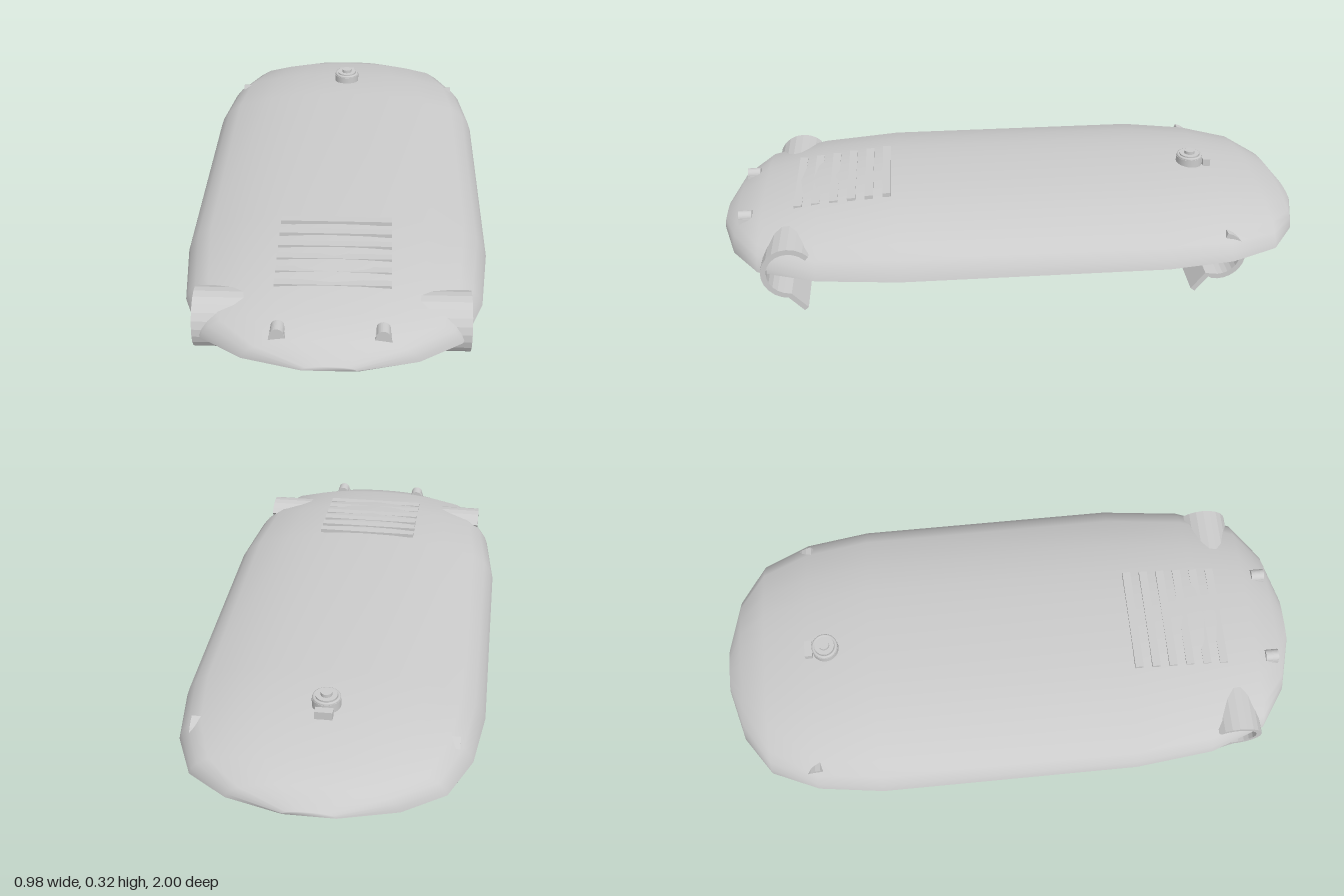
import * as THREE from 'three';
import { RoundedBoxGeometry } from 'three/addons/geometries/RoundedBoxGeometry.js';

const grey = new THREE.MeshStandardMaterial({ color: 0xcccccc, side: THREE.DoubleSide });
const BASE = 0.14;

// Hull stations from front to back: z, half width, top height
const half = [[1, 0.08, 0.155], [0.95, 0.26, 0.208], [0.86, 0.39, 0.243], [0.67, 0.46, 0.272], [0.4, 0.49, 0.29]];
const stations = [
  ...half,
  [-0.48, 0.49, 0.29], [-0.7, 0.46, 0.27],
  ...half.slice(0, 3).reverse().map(([z, w, h]) => [-z, w, h]),
];
// Unit arch, from the edge to the centre
const arch = [[1, 0], [0.98, 0.2], [0.93, 0.42], [0.84, 0.63], [0.61, 0.83], [0.41, 0.94], [0.2, 0.985], [0, 1]];
const section = [...arch, ...arch.slice(0, -1).reverse().map(([x, y]) => [-x, y])];

function add(parent, name, geometry, x = 0, y = 0, z = 0) {
  const mesh = new THREE.Mesh(geometry, grey);
  mesh.name = name;
  mesh.position.set(x, y, z);
  parent.add(mesh);
  return mesh;
}

// Smooth domed shell lofted through the stations, with closed ends
function shellGeometry() {
  const pos = [], index = [], n = section.length;
  for (const [z, w, h] of stations)
    for (const [x, y] of section) pos.push(x * w, BASE + y * (h - BASE), z);
  for (let i = 0; i < stations.length - 1; i++)
    for (let j = 0; j < n - 1; j++) {
      const a = i * n + j, b = a + n;
      index.push(a, a + 1, b, a + 1, b + 1, b);
    }
  const last = (stations.length - 1) * n;
  for (let j = 1; j < n - 1; j++) {
    index.push(0, j, j + 1);
    index.push(last, last + j + 1, last + j);
  }
  const g = new THREE.BufferGeometry();
  g.setAttribute('position', new THREE.Float32BufferAttribute(pos, 3));
  g.setIndex(index);
  g.computeVertexNormals();
  return g;
}

// Flat underside following the plan outline
function undersideGeometry() {
  const right = stations.map(([z, w]) => new THREE.Vector2(w, z));
  const left = stations.map(([z, w]) => new THREE.Vector2(-w, z)).reverse();
  return new THREE.ShapeGeometry(new THREE.Shape([...right, ...left])).rotateX(Math.PI / 2);
}

// Curved strip: an arc from angle a0 to a1 plus a straight foot, thickened and extruded along x
function hookGeometry(cz, cy, r, a0, a1, foot, width) {
  const path = [], t = 0.009, steps = 14;
  for (let i = 0; i <= steps; i++) {
    const a = a0 + (a1 - a0) * i / steps;
    path.push(new THREE.Vector2(cz + r * Math.cos(a), cy + r * Math.sin(a)));
  }
  path.push(new THREE.Vector2(...foot));
  const offset = (s) => path.map((p, i) => {
    const d = path[Math.min(i + 1, path.length - 1)].clone().sub(path[Math.max(i - 1, 0)]).normalize();
    return new THREE.Vector2(p.x - d.y * t * s, p.y + d.x * t * s);
  });
  const shape = new THREE.Shape([...offset(1), ...offset(-1).reverse()]);
  const g = new THREE.ExtrudeGeometry(shape, { depth: width, bevelEnabled: false });
  return g.translate(0, 0, -width / 2).rotateY(-Math.PI / 2);
}

export function createModel() {
  const model = new THREE.Group();
  model.name = 'hoverSled';

  add(model, 'hullShell', shellGeometry());
  add(model, 'hullUnderside', undersideGeometry(), 0, BASE, 0);
  add(model, 'keel', new RoundedBoxGeometry(0.16, 0.1, 1.47, 4, 0.025), 0, 0.104, 0.02);

  // Curved strips under both ends, two per side
  const deg = Math.PI / 180;
  const front = hookGeometry(0.757, 0.145, 0.083, 138 * deg, -88 * deg, [0.71, 0.008], 0.154);
  const back = hookGeometry(-0.66, 0.137, 0.08, 105 * deg, 296 * deg, [-0.58, 0.008], 0.154);
  for (const x of [-0.341, -0.172, 0.172, 0.341]) {
    add(model, 'frontHook', front, x);
    add(model, 'backHook', back, x);
  }

  // Row of vent slats, sinking into the dome towards the nose
  const vents = new THREE.Group();
  vents.name = 'ventSlats';
  for (let i = 0; i < 6; i++)
    add(vents, 'ventSlat', new THREE.BoxGeometry(0.355, 0.014, 0.028), 0, 0.289 - 0.0068 * i, 0.436 + 0.06 * i);
  model.add(vents);

  // Round-topped lamps on the nose
  const lamp = new THREE.Shape();
  lamp.moveTo(-0.026, -0.02);
  lamp.lineTo(0.026, -0.02);
  lamp.lineTo(0.023, 0);
  lamp.absarc(0, 0, 0.021, 0, Math.PI, false);
  lamp.lineTo(-0.023, 0);
  const lampGeometry = new THREE.ExtrudeGeometry(lamp, { depth: 0.045, bevelEnabled: false, curveSegments: 8 });
  for (const s of [-1, 1]) add(model, 'noseLamp', lampGeometry, s * 0.154, 0.216, 0.893);

  // Stepped cap with a small latch behind it
  const cap = new THREE.Group();
  cap.name = 'topCap';
  for (const [r, y, h] of [[0.046, 0.285, 0.034], [0.034, 0.304, 0.014], [0.018, 0.314, 0.016]])
    add(cap, 'capDisc', new THREE.CylinderGeometry(r, r, h, 24), 0, y, -0.64);
  add(cap, 'capRim', new THREE.TorusGeometry(0.039, 0.006, 8, 24).rotateX(Math.PI / 2), 0, 0.303, -0.64);
  add(cap, 'capLatch', new THREE.BoxGeometry(0.056, 0.03, 0.026), 0, 0.28, -0.698);
  add(cap, 'capLink', new THREE.BoxGeometry(0.026, 0.02, 0.04), 0, 0.28, -0.68);
  model.add(cap);

  return model;
}
